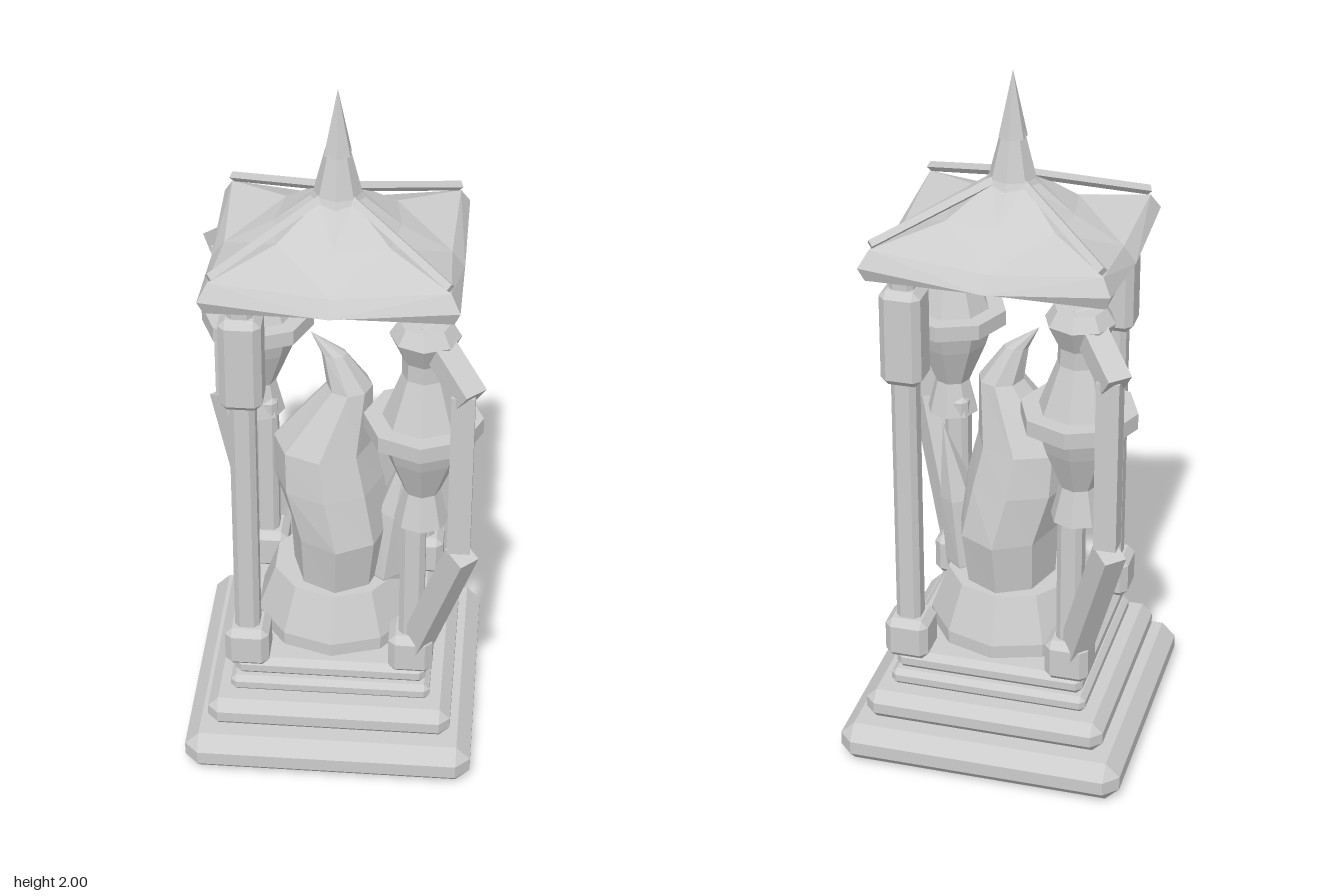
import * as THREE from 'three';
import { ConvexGeometry } from 'three/addons/geometries/ConvexGeometry.js';

const stone = new THREE.MeshStandardMaterial({ color: 0xcccccc });
stone.name = 'stone grey';

// faceted normals for any geometry
function flat(geometry) {
  const g = geometry.index ? geometry.toNonIndexed() : geometry;
  g.computeVertexNormals();
  return g;
}

function part(parent, name, geometry, x = 0, y = 0, z = 0) {
  const mesh = new THREE.Mesh(flat(geometry), stone);
  mesh.name = name;
  mesh.position.set(x, y, z);
  parent.add(mesh);
  return mesh;
}

// box with every edge and corner chamfered
function bevelBox(w, h, d, b) {
  const points = [];
  for (const sx of [-1, 1]) for (const sy of [-1, 1]) for (const sz of [-1, 1]) {
    for (let k = 0; k < 3; k++) {
      points.push(new THREE.Vector3(
        sx * (w / 2 - (k === 0 ? 0 : b)),
        sy * (h / 2 - (k === 1 ? 0 : b)),
        sz * (d / 2 - (k === 2 ? 0 : b))));
    }
  }
  return new ConvexGeometry(points);
}

const lathe = (profile, sides) =>
  new THREE.LatheGeometry(profile.map(([r, y]) => new THREE.Vector2(r, y)), sides);

// rings [y, centreX, centreZ, radiusX, radiusZ] from bottom to top
function loft(rings, sides) {
  const g = lathe(rings.map((r) => [1, r[0]]), sides);
  const p = g.attributes.position;
  for (let i = 0; i < p.count; i++) {
    const [y, cx, cz, rx, rz] = rings[i % rings.length];
    p.setXYZ(i, cx + p.getX(i) * rx, y, cz + p.getZ(i) * rz);
  }
  return g;
}

// square bar between two points
function bar(parent, name, a, b, w, d) {
  const from = new THREE.Vector3(...a), to = new THREE.Vector3(...b);
  const mesh = part(parent, name, new THREE.BoxGeometry(w, from.distanceTo(to), d));
  mesh.position.copy(from).add(to).multiplyScalar(0.5);
  mesh.quaternion.setFromUnitVectors(new THREE.Vector3(0, 1, 0), to.sub(from).normalize());
  return mesh;
}

// roof shell: stacked outlines of 8 points, sagging at the middle of each side
function roofGeometry() {
  const ring = (x, z, cornerY, mx, mz, midY) => [
    [x, cornerY, z], [mx, midY, 0], [x, cornerY, -z], [0, midY, -mz],
    [-x, cornerY, -z], [-mx, midY, 0], [-x, cornerY, z], [0, midY, mz]];
  const rings = [
    ring(0, 0, 1.485, 0, 0, 1.485),
    ring(0.325, 0.285, 1.485, 0.325, 0.285, 1.485),
    ring(0.34, 0.3, 1.525, 0.34, 0.3, 1.49),
    ring(0.315, 0.275, 1.57, 0.305, 0.27, 1.535),
    ring(0.15, 0.13, 1.61, 0.17, 0.15, 1.61),
    ring(0.045, 0.045, 1.7, 0.06, 0.06, 1.7),
    ring(0, 0, 1.7, 0, 0, 1.7)];
  const index = [];
  for (let r = 0; r < rings.length - 1; r++) {
    for (let i = 0; i < 8; i++) {
      const a = r * 8 + i, b = r * 8 + (i + 1) % 8;
      // alternate the diagonal so each side folds symmetrically
      if (i % 2) index.push(a, b, b + 8, a, b + 8, a + 8);
      else index.push(a, b, a + 8, b, b + 8, a + 8);
    }
  }
  const g = new THREE.BufferGeometry();
  g.setAttribute('position', new THREE.Float32BufferAttribute(rings.flat(2), 3));
  g.setIndex(index);
  return g;
}

// corner post with foot; plain posts also carry a capital
function post(parent, x, z, plain) {
  const g = new THREE.Group();
  g.name = plain ? 'plainPost' : 'torchPost';
  g.position.set(x, 0, z);
  parent.add(g);
  part(g, 'foot', bevelBox(0.125, 0.125, 0.125, 0.02), 0, 0.375, 0);
  const top = plain ? 1.5 : 0.9;
  part(g, 'shaft', bevelBox(0.07, top - 0.32, 0.07, 0.015), 0, (top + 0.32) / 2, 0);
  if (plain) part(g, 'capital', bevelBox(0.115, 0.28, 0.115, 0.02), 0, 1.32, 0);
}

// torch with its outer bracket, at the +x +z corner
function torch() {
  const g = new THREE.Group();
  g.name = 'torch';
  post(g, 0.228, 0.228, false);
  part(g, 'cup', lathe([[0, 0.84], [0.075, 0.84], [0.05, 0.94], [0.1, 1.06], [0.122, 1.13],
    [0.16, 1.13], [0.16, 1.175], [0.11, 1.175], [0.06, 1.31], [0.06, 1.36],
    [0.095, 1.43], [0.07, 1.47], [0, 1.47]], 8), 0.25, 0, 0.25);
  part(g, 'bracketUpright', new THREE.BoxGeometry(0.062, 0.5, 0.062), 0.357, 1.075, 0.357);
  // sloping arms lie in the diagonal plane
  const arms = new THREE.Group();
  arms.name = 'bracketArms';
  arms.rotation.y = -Math.PI / 4;
  g.add(arms);
  bar(arms, 'lowerArm', [0.33, 0.36, 0], [0.518, 0.81, 0], 0.07, 0.065);
  bar(arms, 'upperArm', [0.535, 1.32, 0], [0.36, 1.45, 0], 0.06, 0.07);
  return g;
}

export function createModel() {
  const model = new THREE.Group();
  model.name = 'shrine';

  // stepped base: width, bottom, top, bevel
  const tiers = [[0.82, 0, 0.12, 0.04], [0.695, 0.12, 0.212, 0.03],
    [0.57, 0.212, 0.262, 0.015], [0.545, 0.262, 0.32, 0.018]];
  tiers.forEach(([w, y0, y1, b], i) =>
    part(model, 'baseTier' + (i + 1), bevelBox(w, y1 - y0, w, b), 0, (y0 + y1) / 2, 0));

  // crystal on its mound
  part(model, 'mound', lathe([[0.235, 0.31], [0.235, 0.36], [0.185, 0.495], [0, 0.495]], 10));
  part(model, 'mainCrystal', loft([
    [0.48, 0.005, 0, 0.13, 0.165], [0.65, 0.01, 0, 0.145, 0.19], [0.8, -0.025, 0, 0.155, 0.165],
    [0.92, -0.04, 0, 0.14, 0.14], [1.1, 0.033, 0, 0.064, 0.07],
    [1.2, -0.01, 0, 0.035, 0.03], [1.265, -0.075, 0, 0, 0]], 8));
  part(model, 'smallCrystal', loft([
    [0.36, 0.13, 0.01, 0.05, 0.06], [0.5, 0.14, 0.015, 0.06, 0.085],
    [0.7, 0.165, 0.01, 0.05, 0.065], [0.93, 0.205, 0, 0, 0]], 6));

  // posts and torches on opposite corners
  post(model, -0.235, 0.235, true);
  post(model, 0.235, -0.235, true);
  for (const turn of [0, Math.PI]) {
    const t = torch();
    t.rotation.y = turn;
    model.add(t);
  }

  // roof with hip ribs
  part(model, 'roof', roofGeometry());
  for (const sx of [-1, 1]) for (const sz of [-1, 1]) {
    bar(model, 'roofRib', [sx * 0.312, 1.585, sz * 0.272], [sx * 0.04, 1.7, sz * 0.035], 0.02, 0.02);
  }

  // finial
  part(model, 'finialBase', lathe([[0.078, 1.68], [0.065, 1.705], [0.033, 1.83], [0, 1.83]], 8));
  part(model, 'finialSpike', lathe([[0, 1.815], [0.04, 1.815], [0, 2]], 6));
  return model;
}
